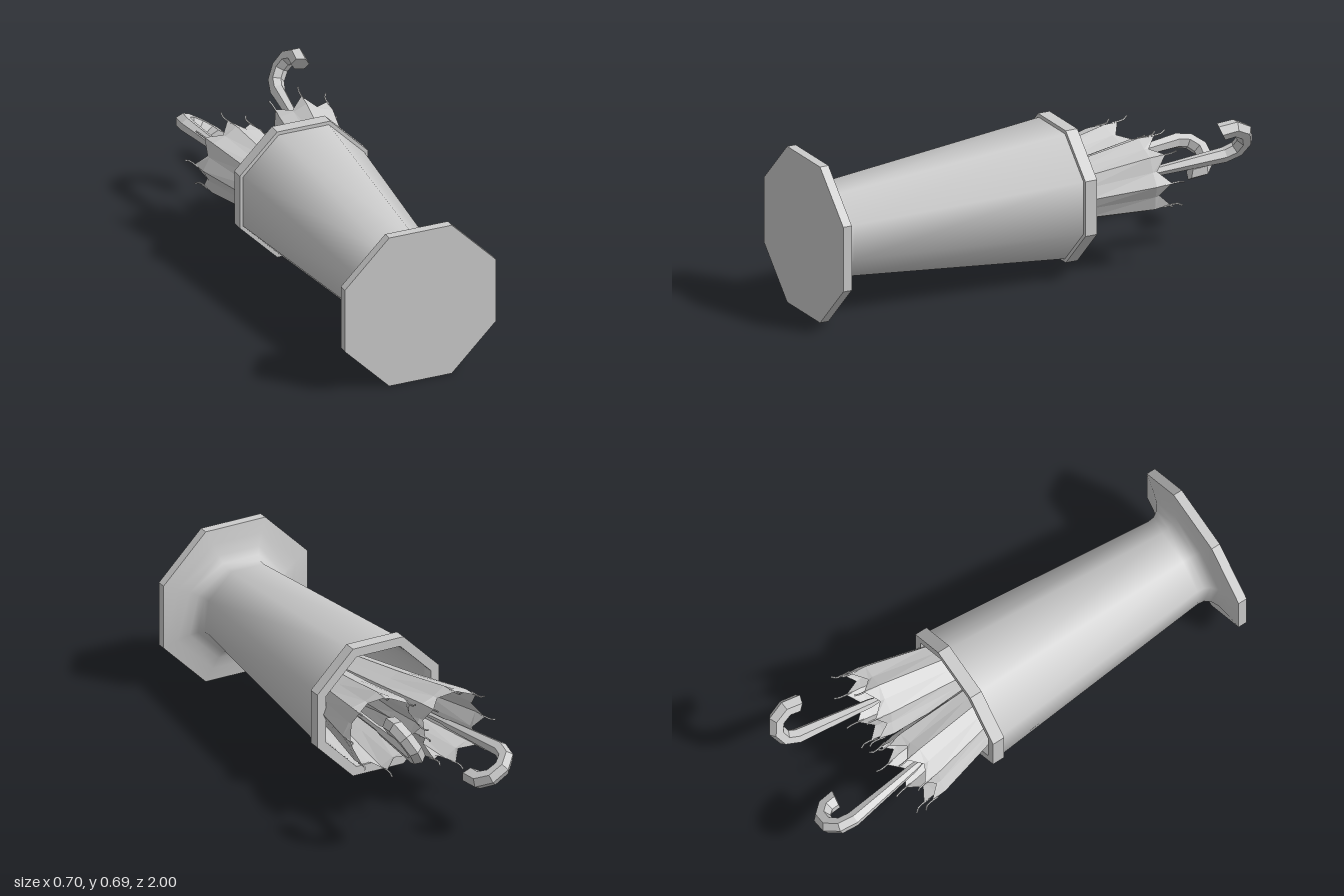
import * as THREE from 'three';

const SIDES = 8;
const smooth = new THREE.MeshStandardMaterial({ color: 0xcccccc });
const flat = new THREE.MeshStandardMaterial({ color: 0xcccccc, flatShading: true });
const cloth = new THREE.MeshStandardMaterial({ color: 0xcccccc, flatShading: true, side: THREE.DoubleSide });

function addMesh(parent, name, geometry, material) {
  const mesh = new THREE.Mesh(geometry, material);
  mesh.name = name;
  parent.add(mesh);
  return mesh;
}

// Octagonal lathe; radii are measured to the middle of a flat side
function octagon(profile) {
  const k = 1 / Math.cos(Math.PI / SIDES);
  const pts = profile.map(([r, y]) => new THREE.Vector2(r * k, y));
  return new THREE.LatheGeometry(pts, SIDES, Math.PI / SIDES);
}

// Sweep along rings lying in the xy plane: [x, y, direction angle, radius]
function sweep(rings, n = 6) {
  const pos = [], index = [];
  rings.forEach(([x, y, t, r], i) => {
    for (let j = 0; j < n; j++) {
      const a = (j / n) * Math.PI * 2;
      const c = r * Math.cos(a);
      pos.push(x + c * Math.sin(t), y - c * Math.cos(t), r * Math.sin(a));
      if (i === 0) continue;
      const p = (i - 1) * n + j, q = (i - 1) * n + ((j + 1) % n);
      index.push(p, p + n, q, q, p + n, q + n);
    }
  });
  const g = new THREE.BufferGeometry();
  g.setAttribute('position', new THREE.Float32BufferAttribute(pos, 3));
  g.setIndex(index);
  g.computeVertexNormals();
  return g;
}

// Pleated canopy: ribs at even segments, valleys between them
function canopyGeometry() {
  const profile = [[0.004, 0], [0.035, 0.06], [0.085, 0.6], [0.13, 1.13], [0.165, 1.43], [0.16, 1.5]];
  const n = profile.length;
  const g = new THREE.LatheGeometry(profile.map(([r, y]) => new THREE.Vector2(r, y)), 16);
  const p = g.attributes.position;
  for (let i = 0; i < p.count; i++) {
    const seg = Math.floor(i / n), row = i % n;
    if (seg % 2 === 0) continue;
    const s = row >= n - 2 ? 0.88 : 0.92;
    p.setX(i, p.getX(i) * s);
    p.setZ(i, p.getZ(i) * s);
    if (row === n - 1) p.setY(i, 1.45);
  }
  g.computeVertexNormals();
  return g;
}

// Straight shaft that thickens into a crook handle
function shaftGeometry() {
  const R = 0.085, cy = 1.8, up = Math.PI / 2;
  const rings = [[0, -0.04, up, 0.0005], [0, -0.04, up, 0.012], [0, 1.42, up, 0.014],
    [0, 1.46, up, 0.02], [0, 1.7, up, 0.029]];
  const steps = 5, end = -0.4;
  for (let i = 0; i <= steps; i++) {
    const a = Math.PI + (end - Math.PI) * (i / steps);
    rings.push([R + R * Math.cos(a), cy + R * Math.sin(a), a - up, 0.033 + 0.006 * (i / steps)]);
  }
  const last = rings[rings.length - 1];
  rings.push([last[0], last[1], last[2], 0.0005]);
  return sweep(rings);
}

function createUmbrella(name, tip, lean, hook) {
  const umbrella = new THREE.Group();
  umbrella.name = name;
  umbrella.position.set(...tip);
  umbrella.quaternion.setFromUnitVectors(new THREE.Vector3(0, 1, 0),
    new THREE.Vector3(lean[0], 1, lean[1]).normalize());

  addMesh(umbrella, 'canopy', canopyGeometry(), cloth);
  const shaft = addMesh(umbrella, 'shaftAndHandle', shaftGeometry(), flat);
  shaft.rotation.y = Math.atan2(-hook[1], hook[0]);

  // Small curled rib ends around the canopy edge
  const curve = new THREE.CatmullRomCurve3([[0.163, 1.47], [0.16, 1.51], [0.163, 1.535], [0.175, 1.55]]
    .map(([r, y]) => new THREE.Vector3(0, y, r)));
  const tipGeometry = new THREE.TubeGeometry(curve, 4, 0.004, 4);
  for (let i = 0; i < 8; i++) {
    addMesh(umbrella, 'ribTip', tipGeometry, flat).rotation.y = (i * Math.PI) / 4;
  }
  return umbrella;
}

export function createModel() {
  const model = new THREE.Group();
  model.name = 'umbrellaStand';

  // Built upright, then laid down so the opening points to -z
  const stand = new THREE.Group();
  stand.name = 'stand';
  stand.rotation.x = -Math.PI / 2;
  stand.position.set(0, 0.345, 1);
  model.add(stand);

  addMesh(stand, 'basePlate', octagon([[0, 0], [0.345, 0], [0.345, 0.04], [0.2, 0.04]]), flat);
  addMesh(stand, 'body', octagon([[0.345, 0.04], [0.285, 0.052], [0.235, 0.066], [0.205, 0.085],
    [0.189, 0.11], [0.186, 0.14], [0.277, 1.18]]), smooth);
  addMesh(stand, 'rim', octagon([[0.27, 1.175], [0.292, 1.175], [0.292, 1.23], [0.252, 1.23], [0.25, 1.17]]), flat);
  addMesh(stand, 'innerWall', octagon([[0.25, 1.18], [0.165, 0.06]]), smooth);
  addMesh(stand, 'innerFloor', octagon([[0.166, 0.06], [0, 0.06]]), flat);

  stand.add(createUmbrella('rightUmbrella', [0.07, 0.1, -0.035], [-0.16, 0.03], [0.84, -0.54]));
  stand.add(createUmbrella('leftUmbrella', [0.005, 0.1, -0.09], [0.11, 0.1], [0.5, 0.86]));
  return model;
}
